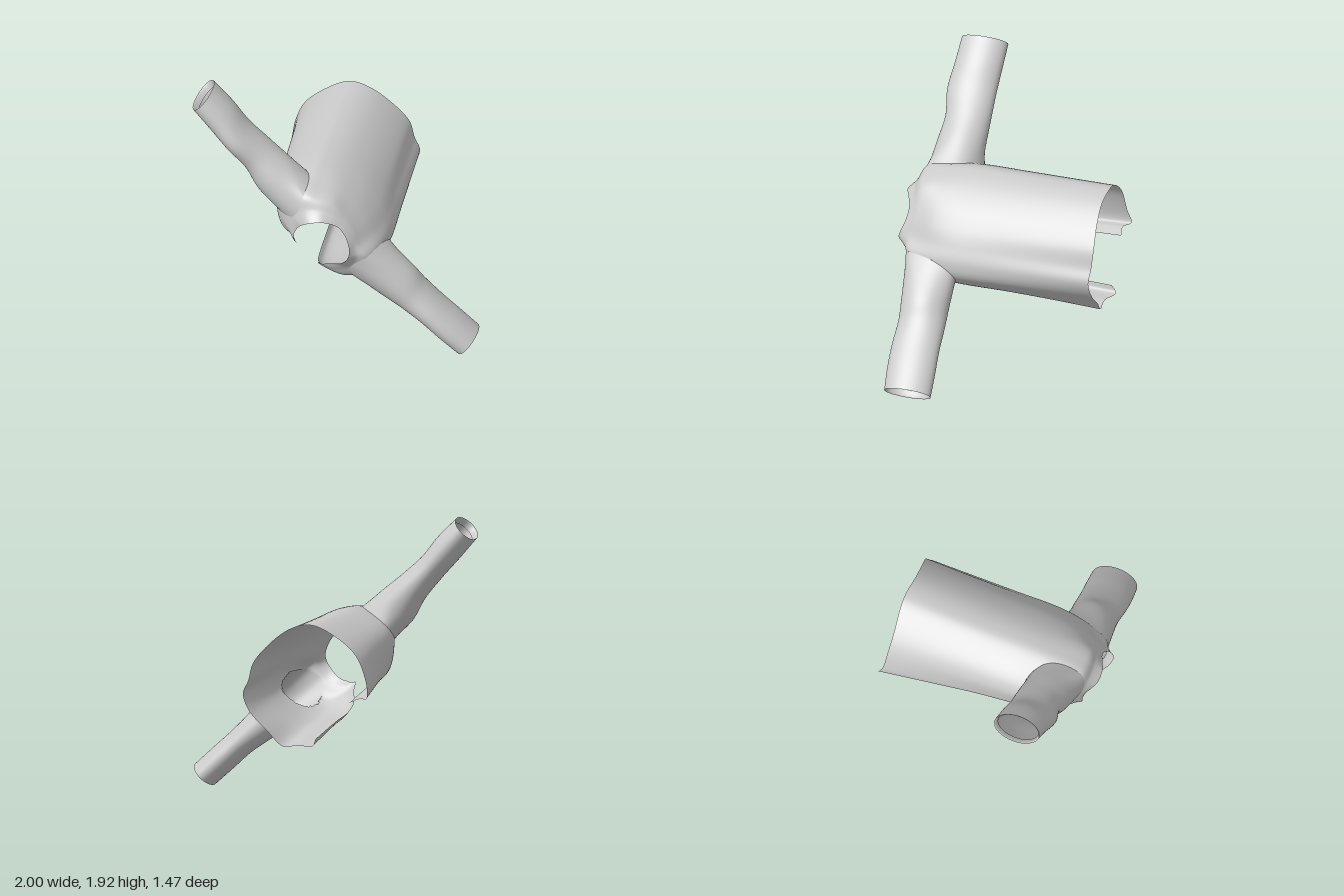
import * as THREE from 'three';

const fabric = new THREE.MeshStandardMaterial({ color: 0xcccccc, side: THREE.DoubleSide, roughness: 0.9 });

// Smooth surface function (u, v) through rows of key points
function sampler(rows, closed) {
  const across = rows.map(r => new THREE.CatmullRomCurve3(r, closed, 'catmullrom', 0.5));
  return (u, v) => new THREE.CatmullRomCurve3(across.map(c => c.getPoint(u)), false, 'catmullrom', 0.5).getPoint(v);
}

// Grid mesh of a surface function, leaving out cells where skip(u, v) holds
function sheet(name, surface, nu, nv, closed = false, skip = () => false) {
  const pos = [], index = [];
  const n = nv + 1;
  const columns = closed ? nu : nu + 1;
  for (let i = 0; i < columns; i++)
    for (let j = 0; j <= nv; j++) pos.push(...surface(i / nu, j / nv).toArray());
  for (let i = 0; i < nu; i++) for (let j = 0; j < nv; j++) {
    if (skip((i + 0.5) / nu, (j + 0.5) / nv)) continue;
    const a = i * n + j, b = ((i + 1) % columns) * n + j;
    index.push(a, a + 1, b, b, a + 1, b + 1);
  }
  const g = new THREE.BufferGeometry();
  g.setAttribute('position', new THREE.Float32BufferAttribute(pos, 3));
  g.setIndex(index);
  g.computeVertexNormals();
  const mesh = new THREE.Mesh(g, fabric);
  mesh.name = name;
  return mesh;
}

// C-shaped sections in x, y, open at the front of the garment
const hem = [[-.40, .79], [-.47, .82], [-.53, .83], [-.52, .93], [-.46, 1.09], [-.36, 1.2], [-.2, 1.3],
  [-.09, 1.32], [.04, 1.28], [.17, 1.18], [.28, 1.05], [.32, .92], [.36, .82], [.31, .7], [.19, .58],
  [.08, .47], [-.03, .48], [-.14, .48], [-.16, .53]];
const chest = [[-.34, .81], [-.38, .83], [-.42, .87], [-.44, .97], [-.44, 1.11], [-.37, 1.21], [-.2, 1.3],
  [-.09, 1.3], [.03, 1.25], [.16, 1.15], [.26, 1.03], [.32, .92], [.36, .81], [.34, .7], [.22, .59],
  [.1, .53], [0, .53], [-.1, .54], [-.14, .58]];
const shoulder = [[-.26, .85], [-.28, .88], [-.31, .92], [-.34, .99], [-.34, 1.09], [-.3, 1.17], [-.2, 1.25],
  [-.09, 1.24], [.02, 1.2], [.11, 1.1], [.17, 1], [.21, .9], [.27, .81], [.25, .71], [.18, .63],
  [.1, .6], [.03, .61], [-.04, .64], [-.09, .68]];
const neck = [[-.23, .87], [-.25, .9], [-.25, .94], [-.24, .97], [-.22, 1.01], [-.19, 1.05], [-.14, 1.09],
  [-.06, 1.11], [.01, 1.09], [.07, 1.05], [.12, .98], [.15, .9], [.14, .84], [.1, .79], [.06, .76],
  [.02, .74], [-.02, .73], [-.05, .72], [-.08, .73]];

const section = (points, z) => points.map(([x, y], i) => new THREE.Vector3(x, y, z(i)));
const mix = (a, b, t) => a.map(([x, y], i) => [x + (b[i][0] - x) * t, y + (b[i][1] - y) * t]);

// Collar rises at the two shoulders, dips at the nape and falls off at the front
const bump = (i, centre) => Math.exp(-(((i - centre) / 2) ** 2));
const rise = i => 0.08 * (bump(i, 6.5) + bump(i, 12));
const hemZ = i => -0.7 + 0.008 * Math.sin(i * 1.7) - (i === 2 || i === 17 ? 0.035 : 0);

const bodySurface = sampler([
  section(hem, hemZ),
  section(mix(hem, chest, 0.4), () => -0.38),
  section(mix(hem, chest, 0.75), () => -0.06),
  section(chest, () => 0.25),
  section(mix(chest, shoulder, 0.33), () => 0.45),
  section(shoulder, i => 0.58 + rise(i) * 0.5),
  section(mix(shoulder, neck, 0.6), i => 0.635 + rise(i) * 0.55),
  section(neck, i => 0.655 + rise(i)),
], false);

// Armholes are ellipses on the body surface: centre and radii in section points and rows
const upperArmhole = { i: 4.9, ri: 1.3, row: 4.5, rr: 1.4, turn: 1 };
const lowerArmhole = { i: 13.2, ri: 1.3, row: 4.5, rr: 1.4, turn: -1 };
const inArmhole = (u, v) => [upperArmhole, lowerArmhole].some(h =>
  ((u * 18 - h.i) / h.ri) ** 2 + ((v * 7 - h.row) / h.rr) ** 2 < 0.92);

// Sleeve rings: x, y, half width, centre z, half depth, listed from the cuff inwards
const upperSleeve = [[-.93, 1.86, .098, .435, .165], [-.8, 1.72, .105, .445, .168], [-.68, 1.58, .1, .458, .173],
  [-.55, 1.44, .115, .445, .16], [-.43, 1.3, .148, .457, .17]];
const lowerSleeve = [[.93, .08, .098, .435, .165], [.8, .2, .1, .445, .17], [.68, .31, .1, .45, .168],
  [.55, .42, .115, .447, .165], [.43, .53, .14, .455, .17]];

const around = point => Array.from({ length: 16 }, (_, k) => point(k / 16 * Math.PI * 2));
const ring = ([x, y, w, z, d]) => around(a => new THREE.Vector3(
  x + w * Math.cos(a) * 0.69, y + w * Math.cos(a) * 0.724, z + d * Math.sin(a)));
const armholeRing = h => around(a => bodySurface(
  (h.i + h.turn * h.ri * Math.cos(a)) / 18, (h.row + h.rr * Math.sin(a)) / 7));

function buildSleeve(name, rings, armhole) {
  const group = new THREE.Group();
  group.name = name;
  group.add(sheet('sleeveTube', sampler([...rings.map(ring), armholeRing(armhole)], true), 48, 40, true));
  // Cuff lip folded inwards
  const [x, y, w, z, d] = rings[0];
  const k = -Math.sign(x) * 0.7;
  const fold = [[0, 1], [0.01, 0.94], [0.05, 0.9]].map(([t, f]) =>
    ring([x + k * t, y - k * t, w * f, z, d * f]));
  group.add(sheet('cuffLip', sampler(fold, true), 48, 4, true));
  return group;
}

export function createModel() {
  const model = new THREE.Group();
  model.name = 'openJacket';
  model.add(
    sheet('body', bodySurface, 144, 84, false, inArmhole),
    buildSleeve('rightSleeve', upperSleeve, upperArmhole),
    buildSleeve('leftSleeve', lowerSleeve, lowerArmhole),
  );
  return model;
}
